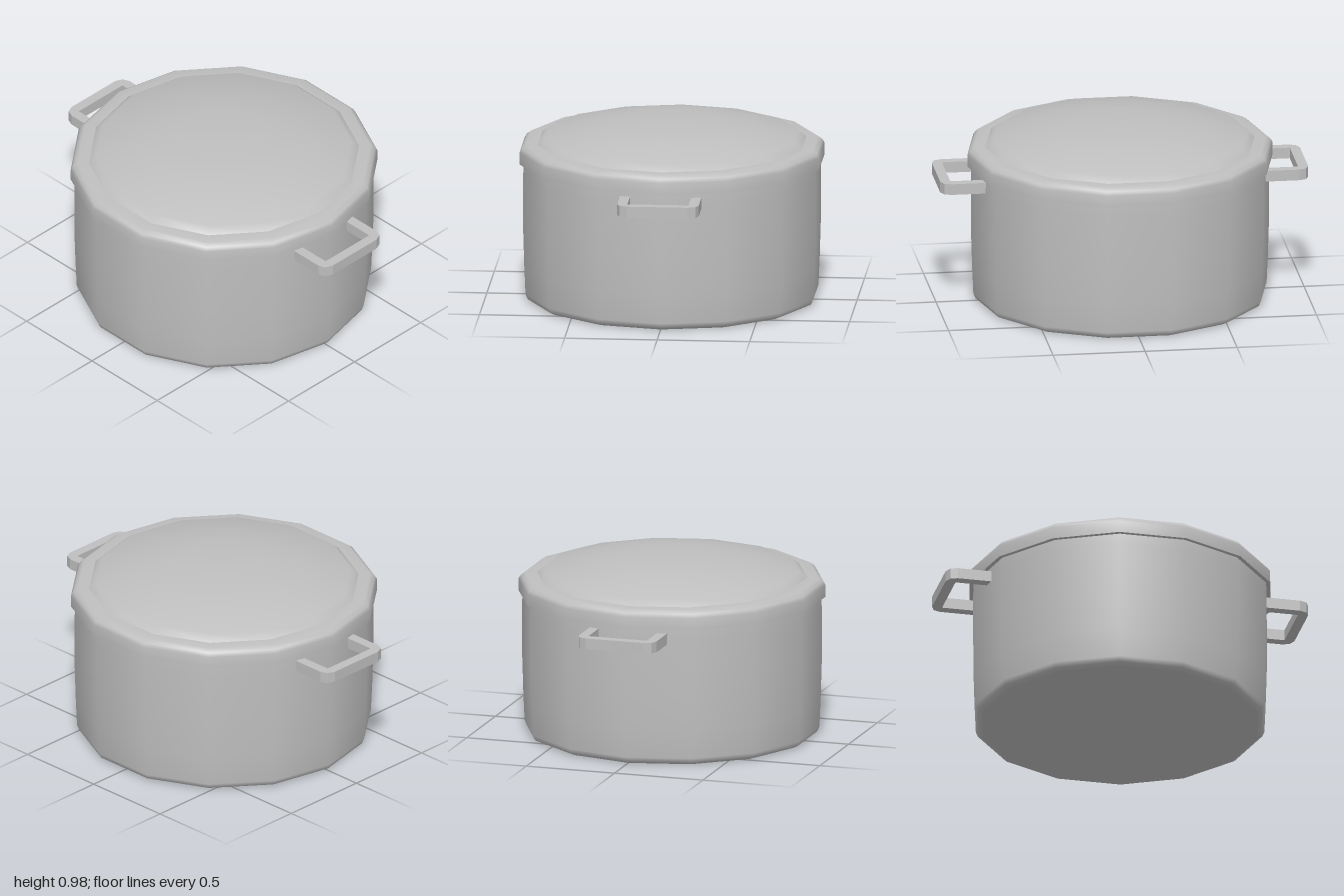
import * as THREE from 'three';

const SIDES = 14;

export function createModel() {
  const pot = new THREE.Group();
  pot.name = 'cookingPot';
  const steel = new THREE.MeshStandardMaterial({ color: 0xbfbfbf });
  steel.name = 'brushed steel grey';

  const add = (name, geometry) => {
    const mesh = new THREE.Mesh(geometry, steel);
    mesh.name = name;
    pot.add(mesh);
    return mesh;
  };

  // Turned part from [radius, height] pairs, running from bottom to top
  const turn = (name, profile) =>
    add(name, new THREE.LatheGeometry(profile.map(([r, y]) => new THREE.Vector2(r, y)), SIDES));

  // Pot body: flat base, rounded lower edge and slightly bulging wall
  turn('base', [[0, 0], [0.76, 0]]);
  turn('wall', [[0.76, 0], [0.785, 0.012], [0.797, 0.04], [0.804, 0.2], [0.81, 0.4], [0.81, 0.7], [0.807, 0.77]]);

  // Lid: flat underside, rounded rim and shallow dome
  turn('lidUnderside', [[0.79, 0.76], [0.83, 0.76]]);
  turn('lidRim', [[0.83, 0.76], [0.83, 0.825], [0.818, 0.845], [0.793, 0.863], [0.72, 0.863]]);
  turn('lidDome', [[0.735, 0.86], [0.69, 0.897], [0.45, 0.95], [0.24, 0.977], [0, 0.98]]);

  // Loop handles, front and back
  const half = [[0.165, 0.75], [0.22, 0.75], [0.22, 0.945], [0.205, 0.983], [0.165, 1]];
  const inner = [[-0.165, 0.945], [0.165, 0.945]];
  const mirrored = half.map(([x, z]) => [-x, z]).reverse();
  const outline = [...half, ...mirrored, ...inner];
  const shape = new THREE.Shape(outline.map(([x, z]) => new THREE.Vector2(x, z)));
  const handle = new THREE.ExtrudeGeometry(shape, { depth: 0.06, bevelEnabled: false });
  handle.rotateX(Math.PI / 2).translate(0, 0.735, 0);
  add('frontHandle', handle);
  add('backHandle', handle).rotation.y = Math.PI;

  return pot;
}
